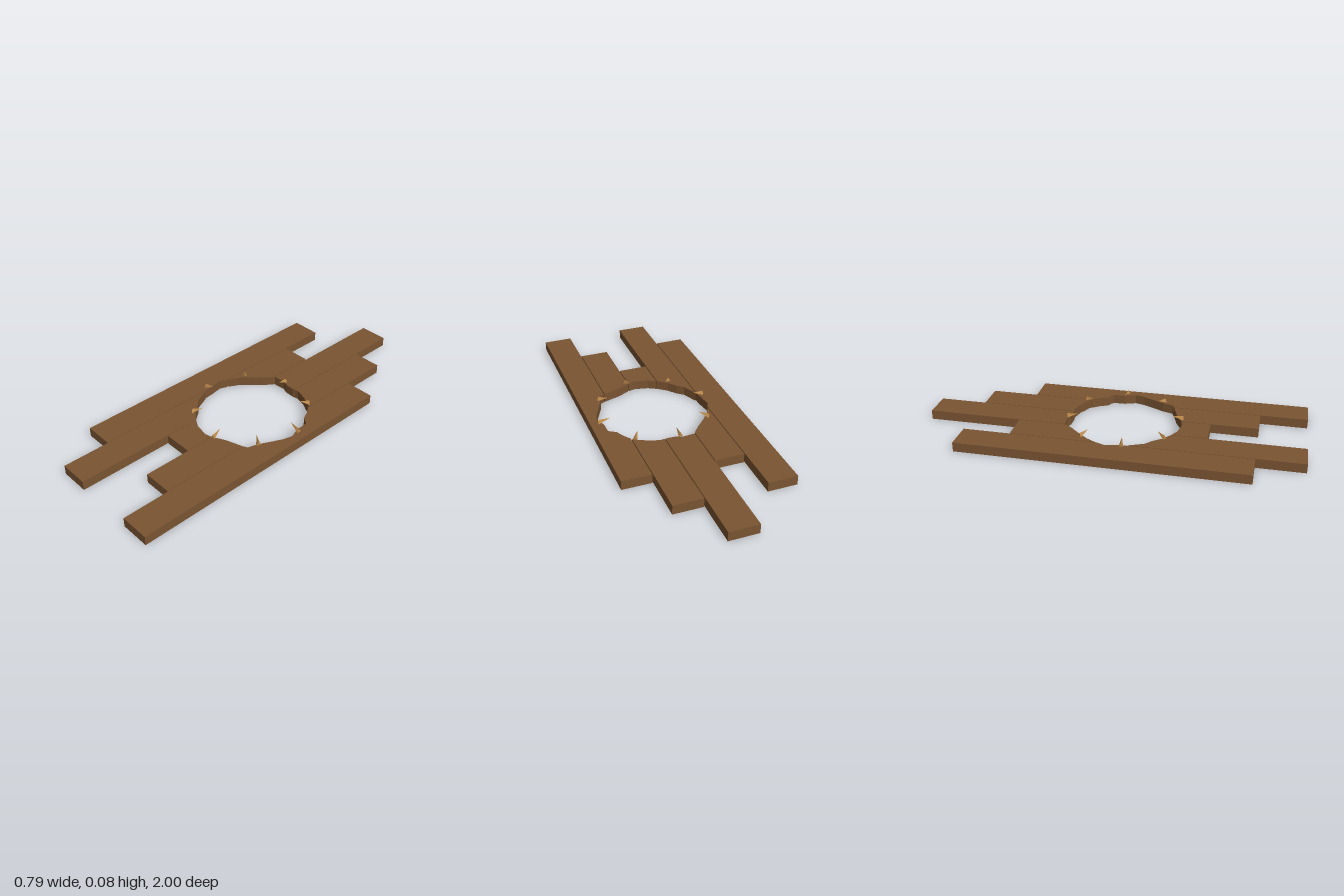
import * as THREE from 'three';
import { ConvexGeometry } from 'three/addons/geometries/ConvexGeometry.js';

const THICKNESS = 0.05;
const WIDTH = 0.155;
const PITCH = 0.159;

// Ragged hole rim as [x, z], both halves running from left to right
const backRim = [
  [-0.255, 0], [-0.235, -0.05], [-0.21, -0.095], [-0.17, -0.143], [-0.12, -0.195],
  [-0.092, -0.228], [-0.077, -0.25], [-0.01, -0.255], [0.015, -0.243], [0.07, -0.24],
  [0.105, -0.245], [0.165, -0.228], [0.195, -0.21], [0.23, -0.195], [0.267, -0.143],
  [0.288, -0.1], [0.327, -0.075], [0.328, -0.01], [0.35, 0.05],
];
const frontRim = [
  [-0.255, 0], [-0.245, 0.06], [-0.24, 0.11], [-0.2, 0.2], [-0.167, 0.228],
  [-0.13, 0.275], [-0.087, 0.31], [-0.035, 0.34], [0.04, 0.355], [0.08, 0.345],
  [0.15, 0.31], [0.23, 0.285], [0.262, 0.27], [0.278, 0.217], [0.31, 0.153],
  [0.335, 0.1], [0.35, 0.05],
];

// Depth of the rim at x, held level beyond its ends
function rimZ(rim, x) {
  if (x <= rim[0][0]) return rim[0][1];
  for (let i = 1; i < rim.length; i++) {
    const [xa, za] = rim[i - 1];
    const [xb, zb] = rim[i];
    if (x <= xb) return za + ((zb - za) * (x - xa)) / (xb - xa);
  }
  return rim[rim.length - 1][1];
}

// Board from a straight end at endZ to the broken rim
function boardGeometry(x0, x1, endZ, rim) {
  const broken = [
    [x0, rimZ(rim, x0)],
    ...rim.filter(([x]) => x > x0 && x < x1),
    [x1, rimZ(rim, x1)],
  ];
  const outline = [[x1, endZ], [x0, endZ], ...broken].map(([x, z]) => new THREE.Vector2(x, z));
  const geometry = new THREE.ExtrudeGeometry(new THREE.Shape(outline), {
    depth: THICKNESS, bevelEnabled: false,
  });
  return geometry.rotateX(Math.PI / 2).translate(0, THICKNESS, 0);
}

// Pointed sliver: triangular butt at the rim, tip reaching over the hole
function splinterGeometry([bx, bz], [tx, tz]) {
  const butt = new THREE.Vector3(bx, 0.055, bz);
  const tip = new THREE.Vector3(tx, 0.077, tz);
  const side = new THREE.Vector3(bz - tz, 0, tx - bx).setLength(0.012);
  return new ConvexGeometry([
    butt.clone().add(side), butt.clone().sub(side), new THREE.Vector3(bx, 0.075, bz), tip,
  ]);
}

export function createModel() {
  const model = new THREE.Group();
  model.name = 'brokenFloor';
  const wood = new THREE.MeshStandardMaterial({ color: 0x7a5432 });
  wood.name = 'brown wood';
  const rawWood = new THREE.MeshStandardMaterial({ color: 0xb9884a });
  rawWood.name = 'pale split wood';

  const add = (name, geometry, material) => {
    const mesh = new THREE.Mesh(geometry, material);
    mesh.name = name;
    model.add(mesh);
  };

  // Five staggered rows of planks: [back end, front end]
  const rows = [[-0.75, 0.75], [-0.5, 1], [-1, 0.5], [-0.75, 0.75], [-0.5, 1]];
  rows.forEach(([back, front], i) => {
    const x0 = (i - 2) * PITCH - WIDTH / 2;
    add(`backPlank${i + 1}`, boardGeometry(x0, x0 + WIDTH, back, backRim), wood);
    add(`frontPlank${i + 1}`, boardGeometry(x0, x0 + WIDTH, front, frontRim), wood);
  });

  // Splinters around the rim: [butt, tip]
  const splinters = [
    [[0, -0.255], [0.003, -0.2]],
    [[0.225, -0.205], [0.197, -0.16]],
    [[0.355, 0.005], [0.29, 0]],
    [[0.29, 0.225], [0.245, 0.195]],
    [[0.095, 0.352], [0.083, 0.295]],
    [[-0.14, 0.29], [-0.107, 0.25]],
    [[-0.263, 0.09], [-0.205, 0.083]],
    [[-0.205, -0.138], [-0.16, -0.105]],
  ];
  splinters.forEach(([butt, tip], i) => {
    add(`splinter${i + 1}`, splinterGeometry(butt, tip), rawWood);
  });
  return model;
}
